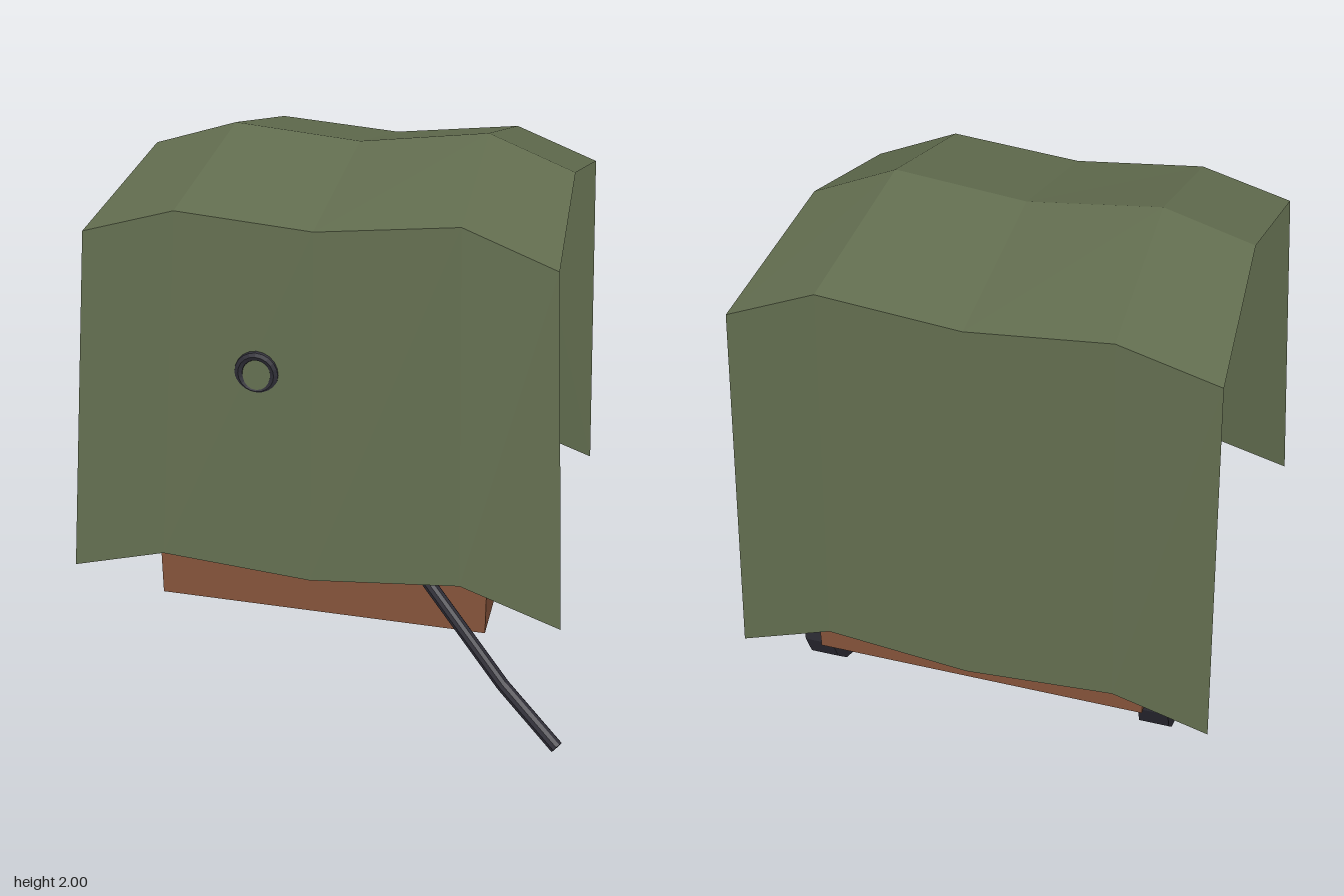
import * as THREE from 'three';

const material = (name, color, options = {}) => {
  const m = new THREE.MeshStandardMaterial({ color, flatShading: true, ...options });
  m.name = name;
  return m;
};

// Open sheet lofted through rows of [x, y] points, each row at its own z
function sheet(rows) {
  const n = rows[0].points.length;
  const positions = [], index = [];
  for (const { z, points } of rows) for (const [x, y] of points) positions.push(x, y, z);
  for (let r = 0; r < rows.length - 1; r++) {
    for (let c = 0; c < n - 1; c++) {
      const a = r * n + c, b = a + n;
      index.push(a, b, a + 1, a + 1, b, b + 1);
    }
  }
  const g = new THREE.BufferGeometry();
  g.setAttribute('position', new THREE.Float32BufferAttribute(positions, 3));
  g.setIndex(index);
  const flat = g.toNonIndexed();
  flat.computeVertexNormals();
  return flat;
}

export function createModel() {
  const model = new THREE.Group();
  const canvas = material('olive canvas', 0x626d4f, { side: THREE.DoubleSide });
  const rust = material('rust brown', 0x86543b);
  const dark = material('dark rubber', 0x2e2d36);

  const add = (name, geometry, mat, x = 0, y = 0, z = 0) => {
    const mesh = new THREE.Mesh(geometry, mat);
    mesh.name = name;
    mesh.position.set(x, y, z);
    model.add(mesh);
    return mesh;
  };

  // Main cabinet and its front panel
  add('cabinet', new THREE.BoxGeometry(1.29, 1.53, 1.325), rust, -0.025, 1.005, -0.1475);
  add('frontPanel', new THREE.BoxGeometry(0.9, 0.795, 0.045), dark, -0.025, 1.1475, 0.5375);

  // Ring handle poking through the cover
  add('ringHandle', new THREE.TorusGeometry(0.067, 0.02, 8, 20), dark, -0.23, 1.268, 0.59);

  // Wheels
  const wheel = new THREE.CylinderGeometry(0.268, 0.268, 0.115, 16);
  wheel.rotateY(Math.PI / 16).rotateZ(Math.PI / 2);
  add('rightWheel', wheel, dark, -0.7025, 0.265, -0.503);
  add('leftWheel', wheel, dark, 0.6525, 0.265, -0.503);

  // Bent tow bar
  const bar = [[0.31, 0.6, 0.565], [0.73, 0.212, 0.79], [0.945, 0.06, 0.905]]
    .map(p => new THREE.Vector3(...p));
  for (let i = 0; i < 2; i++) {
    const dir = bar[i + 1].clone().sub(bar[i]);
    const mid = bar[i].clone().add(bar[i + 1]).multiplyScalar(0.5);
    const rod = add('towBar', new THREE.CylinderGeometry(0.025, 0.025, dir.length(), 10), dark, mid.x, mid.y, mid.z);
    rod.quaternion.setFromUnitVectors(new THREE.Vector3(0, 1, 0), dir.normalize());
  }

  // Draped cover: back hem, back edge, ridge, front edge, front hem
  const edge = [[-0.88, 1.74], [-0.53, 1.84], [-0.025, 1.8], [0.49, 1.855], [0.825, 1.725]];
  add('cover', sheet([
    { z: -0.93, points: [[-0.935, 0.325], [-0.58, 0.425], [-0.025, 0.385], [0.52, 0.44], [0.885, 0.31]] },
    { z: -0.86, points: edge },
    { z: -0.15, points: [[-0.85, 1.885], [-0.52, 1.985], [-0.025, 1.94], [0.47, 2.0], [0.8, 1.87]] },
    { z: 0.555, points: edge },
    { z: 0.67, points: [[-0.965, 0.415], [-0.6, 0.515], [-0.025, 0.475], [0.54, 0.53], [0.915, 0.4]] },
  ]), canvas);

  return model;
}
